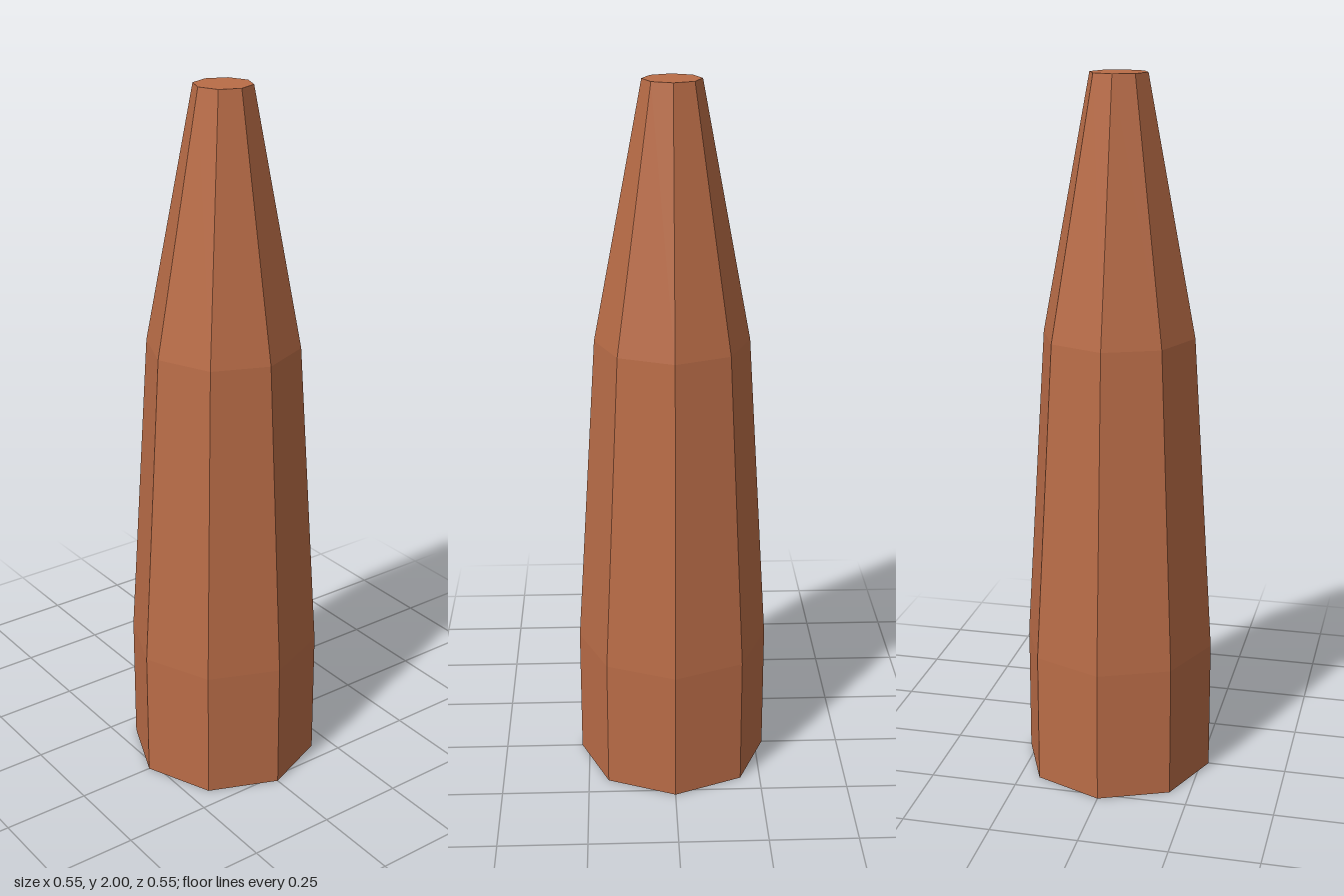
import * as THREE from 'three';

export function createModel() {
  const group = new THREE.Group();
  const material = new THREE.MeshStandardMaterial({ color: 0xb96c47, flatShading: true });

  // Eight-sided tapered body: straight base, gentle taper, steep tip, flat ends
  const profile = [
    [0, 0], [0.273, 0], [0.273, 0.38], [0.215, 1.29], [0.08, 2], [0, 2],
  ].map(([r, y]) => new THREE.Vector2(r, y));

  const body = new THREE.Mesh(new THREE.LatheGeometry(profile, 8), material);
  body.name = 'taperedBody';
  group.add(body);
  return group;
}
